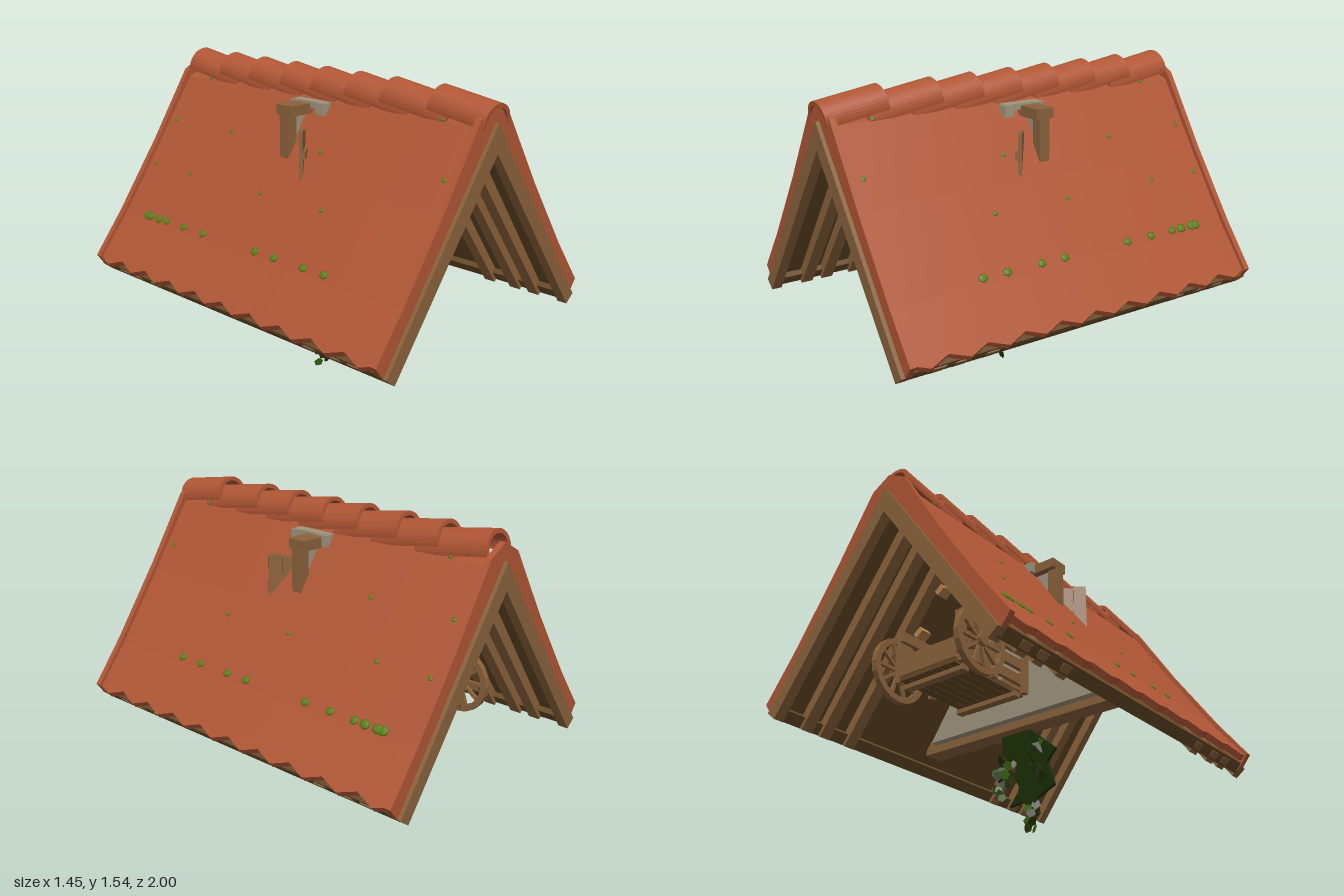
import * as THREE from 'three';

const mat = (name, color, side = THREE.FrontSide) => {
  const m = new THREE.MeshStandardMaterial({ color, side });
  m.name = name;
  return m;
};

export function createModel() {
  const root = new THREE.Group();
  const tile = mat('terracotta', 0xb05635);
  const wood = mat('wood', 0x8a623b);
  const dark = mat('darkWood', 0x664826);
  const tan = mat('lightWood', 0xb8854f);
  const stone = mat('stone', 0xa0957e);
  const hole = mat('darkOpening', 0x38261a);
  const ivyDark = mat('darkIvy', 0x1b2d05, THREE.DoubleSide);
  const ivy = mat('ivy', 0x38600c, THREE.DoubleSide);
  const moss = mat('moss', 0x5c8018);

  const add = (name, geo, m, parent = root) => {
    const mesh = new THREE.Mesh(geo, m);
    mesh.name = name;
    parent.add(mesh);
    return mesh;
  };
  const box = (name, w, h, d, x, y, z, m = wood, parent = root) => {
    const b = add(name, new THREE.BoxGeometry(w, h, d), m, parent);
    b.position.set(x, y, z);
    return b;
  };
  // Extrudes an outline from z to z + depth
  const prism = (pts, z, depth, steps = 1) => {
    const s = new THREE.Shape(pts.map(p => new THREE.Vector2(p[0], p[1])));
    return new THREE.ExtrudeGeometry(s, { depth, steps, bevelEnabled: false }).translate(0, 0, z);
  };
  let seed = 7;
  const rnd = () => (seed = (seed * 16807) % 2147483647) / 2147483647;

  // Tiled slopes with toothed eaves, raised verges, lining boards and eave plates
  const slope = [[0, 1.43], [0.09, 1.4], [0.31, 1.07], [0.55, 0.725], [0.725, 0.505],
    [0.705, 0.48], [0.5, 0.7], [0.28, 1.01], [0, 1.4]];
  const verge = [[0, 1.49], [0.1, 1.435], [0.32, 1.09], [0.56, 0.745], [0.725, 0.53],
    [0.68, 0.47], [0.5, 0.7], [0.28, 1.01], [0, 1.4]];
  const lining = [[0, 1.4], [0.675, 0.472], [0.662, 0.46], [0, 1.375]];
  const plate = [[0.685, 0.485], [0.645, 0.44], [0.61, 0.485], [0.65, 0.525]];
  for (const s of [1, -1]) {
    const side = pts => pts.map(p => [p[0] * s, p[1]]);
    const g = prism(side(slope), -0.98, 1.96, 20);
    const p = g.attributes.position;
    for (let i = 0; i < p.count; i++) {
      const step = Math.round((p.getZ(i) + 0.98) / 0.098);
      if (Math.abs(p.getX(i)) > 0.6 && step % 2 === 0) {
        p.setX(i, p.getX(i) - s * 0.024);
        p.setY(i, p.getY(i) + 0.03);
      }
    }
    g.computeVertexNormals();
    add('roofSlope', g, tile);
    for (const z of [-0.981, 0.951]) add('verge', prism(side(verge), z, 0.03), tile);
    add('roofLining', prism(side(lining), -0.97, 1.94), dark);
    add('eavePlate', prism(side(plate), -0.97, 1.94), dark);
  }

  // Gable boards and rafter pairs
  for (const s of [1, -1]) {
    const half = [[0, 1.41], [0.68 * s, 0.47], [0.63 * s, 0.43], [0, 1.28]];
    for (const e of [1, -1]) {
      add('gableBoard', prism(half, e * 0.975 - 0.025, 0.05), wood);
      for (const z of [0.81, 0.7, 0.545]) add('rafter', prism(half, e * z - 0.03, 0.06), wood);
    }
    // Pegs on the rafters
    for (const [x, y] of [[0.085, 1.12], [0.215, 0.93], [0.345, 0.74]])
      for (const e of [1, -1])
        box('peg', 0.05, 0.032, 0.06, x * s, y, e * 0.5, tan).rotation.z = -s * 0.65;
  }

  // Overlapping ridge tiles
  const arc = new THREE.Shape();
  arc.absarc(0, 0, 0.092, -0.15, Math.PI + 0.15, false);
  arc.absarc(0, 0, 0.072, Math.PI + 0.15, -0.15, true);
  for (const z of [0.685, 0.41, 0.19, -0.03, -0.245, -0.475, -0.7, -0.95]) {
    const r = add('ridgeTile', new THREE.ExtrudeGeometry(arc,
      { depth: z > 0.6 ? 0.305 : 0.38, bevelEnabled: false, curveSegments: 10 }), tile);
    r.position.set(0, 1.45, z);
    r.rotation.x = 0.15;
  }

  // Moss tufts on both slopes
  const tuft = (s, x, y, z, size) => {
    const t = add('moss', new THREE.SphereGeometry(size, 6, 4), moss);
    t.scale.set(0.9, 0.3, 1.1);
    t.position.set(s * x, y, z);
    t.rotation.z = -s * 0.96;
  };
  for (const s of [1, -1]) {
    for (const z of [0.5, 0.37, 0.18, 0.05, -0.33, -0.48, -0.62, -0.68, -0.75, -0.78])
      tuft(s, 0.533, 0.75, z, z < -0.65 ? 0.027 : 0.023);
    for (const z of [0.33, -0.08, -0.61, -0.9]) tuft(s, 0.379, 0.972, z, 0.013);
    for (const z of [0.9, 0.18, -0.45, -0.9]) tuft(s, 0.231, 1.19, z, 0.013);
    for (const z of [0.77, -0.77]) tuft(s, 0.088, 1.41, z, 0.015);
  }

  // Stone cross wall, tie beam and the projecting window wall
  add('stoneWall', prism([[-0.52, 0.57], [0.52, 0.57], [0.1, 1.2], [-0.1, 1.2]], -0.09, 0.12), stone);
  box('windowWall', 0.44, 0.76, 0.03, 0, 0.98, -0.03, stone);
  box('tieBeam', 1.18, 0.07, 0.1, 0, 0.565, 0);
  box('windowHead', 0.53, 0.05, 0.1, 0, 1.36, -0.03);
  box('windowSlit', 0.056, 0.28, 0.008, 0, 1.14, 0.064, hole);
  box('windowPillar', 0.23, 0.43, 0.05, 0, 1.065, 0.035, stone);
  for (const s of [1, -1]) {
    box('windowPost', 0.055, 0.75, 0.055, s * 0.24, 0.96, -0.028);
    box('capStone', 0.055, 0.03, 0.2, s * 0.115, 1.38, 0.005, stone);
    for (const z of [-0.08, 0.09]) box('capStoneEnd', 0.07, 0.055, 0.05, s * 0.115, 1.365, z, stone);
    box('wallUpright', 0.06, 0.36, 0.04, s * 0.165, 0.99, 0.04);
    // Open shutter of two planks with ledges
    const shutter = new THREE.Group();
    shutter.name = 'shutter';
    shutter.position.set(s > 0 ? 0.242 : -0.262, 0, 0.09);
    shutter.rotation.y = -s * 0.7;
    root.add(shutter);
    for (const e of [1, -1]) box('shutterPlank', 0.064, 0.43, 0.018, e * 0.033, 1.07 + e * s * 0.006, 0, wood, shutter);
    for (const y of [0.94, 1.18]) box('shutterLedge', 0.12, 0.035, 0.014, 0, y, 0.015, wood, shutter);
    // Panels, rails and struts beside the hatch
    box('wallPanel', 0.13, 0.17, 0.02, s * 0.205, 0.71, 0.045);
    box('wallRail', 0.15, 0.05, 0.04, s * 0.205, 0.825, 0.05, dark);
    box('wallFoot', 0.16, 0.03, 0.04, s * 0.21, 0.64, 0.06);
    box('wallStrut', 0.22, 0.022, 0.03, s * 0.22, 0.67, 0.09).rotation.z = -s * 0.45;
  }

  // Braced plank hatch
  for (let i = 0; i < 4; i++) box('hatchPlank', 0.067, 0.275, 0.025, -0.105 + i * 0.07, 0.71, 0.085);
  for (const y of [0.605, 0.815]) box('hatchLedge', 0.28, 0.035, 0.02, 0, y, 0.105);
  for (const x of [-0.08, 0.03]) box('hatchBatten', 0.022, 0.2, 0.02, x, 0.71, 0.105);
  box('hatchBrace', 0.025, 0.22, 0.018, -0.025, 0.71, 0.105).rotation.z = 0.45;

  // Wooden cart at the back
  const cart = new THREE.Group();
  cart.name = 'cart';
  cart.position.set(0, 0, -0.44);
  root.add(cart);
  for (let i = 0; i < 7; i++) box('cartFloorPlank', 0.045, 0.025, 0.48, -0.144 + i * 0.048, 0.61, 0, dark, cart);
  for (const z of [-0.18, 0.18]) box('cartBearer', 0.36, 0.025, 0.04, 0, 0.588, z, wood, cart);
  box('cartAxle', 0.52, 0.03, 0.03, 0, 0.7, -0.17, wood, cart);
  for (const s of [1, -1]) {
    for (const y of [0.67, 0.75, 0.83]) box('cartSideRail', 0.02, 0.05, 0.48, s * 0.17, y, 0, wood, cart);
    for (const z of [-0.22, 0, 0.22]) box('cartStake', 0.025, 0.26, 0.03, s * 0.19, 0.73, z, wood, cart);
    box('cartEndBoard', 0.34, 0.1, 0.02, 0, 0.67, s * 0.235, wood, cart);
    const wheel = new THREE.Group();
    wheel.name = 'wheel';
    wheel.position.set(s * 0.25, 0.7, -0.17);
    wheel.rotation.y = Math.PI / 2;
    cart.add(wheel);
    const rim = new THREE.Shape();
    rim.absarc(0, 0, 0.16, 0, Math.PI * 2, false);
    const gap = new THREE.Path();
    gap.absarc(0, 0, 0.13, 0, Math.PI * 2, true);
    rim.holes.push(gap);
    add('wheelRim', new THREE.ExtrudeGeometry(rim, { depth: 0.03, bevelEnabled: false, curveSegments: 10 })
      .translate(0, 0, -0.015), wood, wheel);
    add('wheelHub', new THREE.CylinderGeometry(0.03, 0.03, 0.06, 10).rotateX(Math.PI / 2), wood, wheel);
    for (let i = 0; i < 5; i++) box('wheelSpoke', 0.27, 0.016, 0.016, 0, 0, 0, wood, wheel).rotation.z = i * Math.PI / 5;
  }

  // Hanging ivy: flat leafy sheet, jagged leaves and small trailing leaves
  const sheet = [[0.01, 0.57], [-0.05, 0.53], [-0.2, 0.4], [-0.17, 0.37], [-0.15, 0.34], [-0.19, 0.22], [-0.08, 0.17],
    [-0.05, 0.13], [0.0, 0.17], [0.075, 0.16], [0.01, 0.24], [0.05, 0.3], [0.03, 0.38], [0.12, 0.43], [0.125, 0.53], [0.02, 0.53]];
  const sheetShape = new THREE.Shape(sheet.map(p => new THREE.Vector2(...p)));
  add('ivySheet', new THREE.ExtrudeGeometry(sheetShape, { depth: 0.02, bevelEnabled: false }), ivyDark);
  const leaf = (x, y, r, sides, m) => {
    const l = add('ivyLeaf', new THREE.CircleGeometry(r, sides), m);
    l.position.set(x, y, 0.012 + (rnd() - 0.5) * 0.035);
    l.rotation.set((rnd() - 0.5) * 0.8, (rnd() - 0.5) * 1.2, rnd() * 6);
  };
  for (let i = 0; i < 26; i++) leaf(-0.13 + rnd() * 0.15, 0.2 + rnd() * 0.25, 0.045, 3, i % 6 ? ivyDark : ivy);
  for (let i = 0; i < 20; i++) leaf(0.07 + rnd() * 0.11, 0.27 + rnd() * 0.15, 0.025, 5, i % 3 ? ivyDark : ivy);
  for (let i = 0; i < 3; i++) leaf(0.13 + i * 0.015, 0.22 + i * 0.025, 0.022, 5, ivy);
  for (let i = 0; i < 12; i++) leaf(-0.05 + (rnd() - 0.5) * 0.08, 0.026 + i * 0.013, 0.025, 5, i % 4 ? ivyDark : ivy);

  return root;
}
